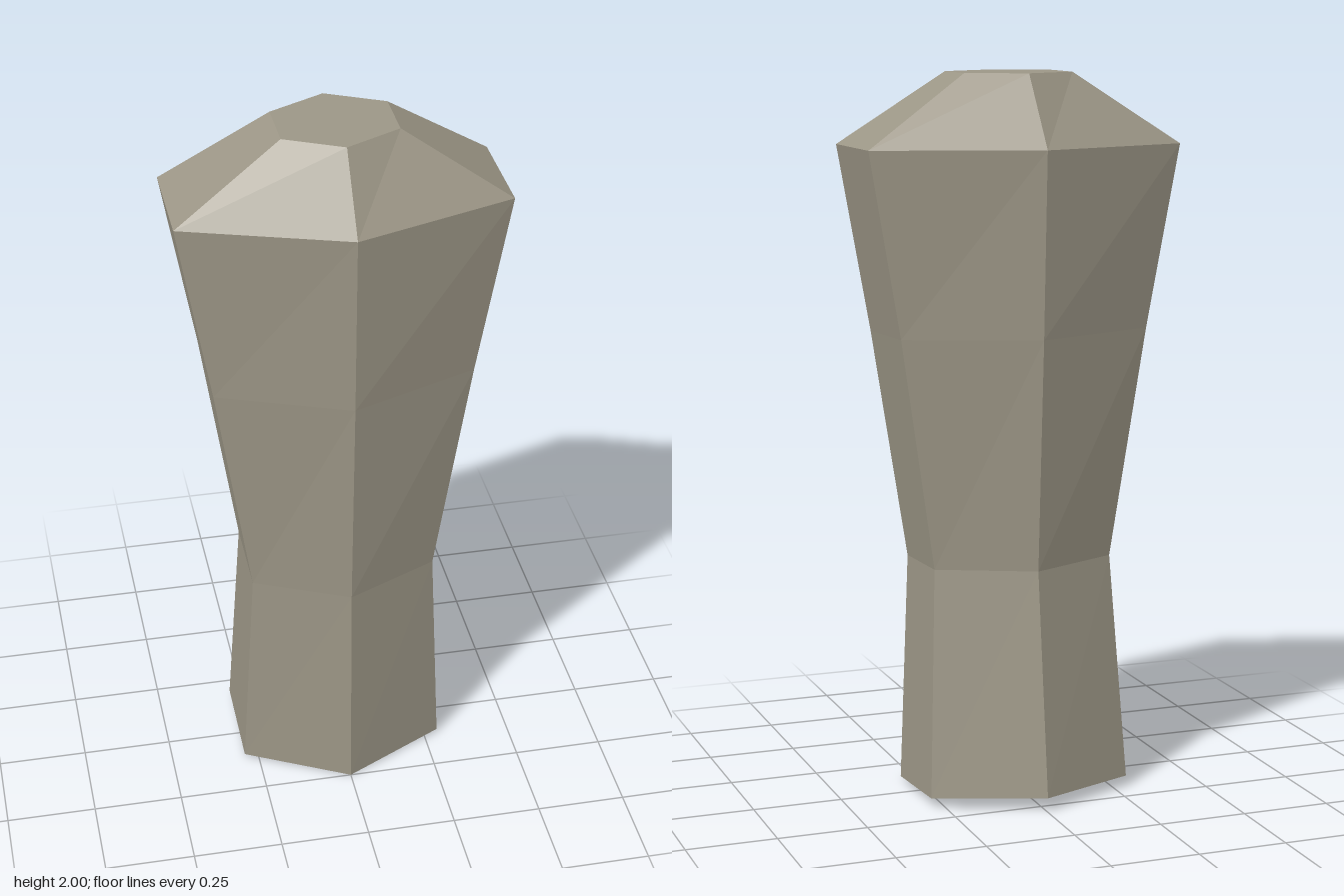
import * as THREE from 'three';

// Each ring: half width x, then [z, y] for front ridge, front edge, back edge, back ridge
const RINGS = [
  { x: 0.29, pts: [[0.25, 0], [0.11, 0.01], [-0.165, 0.03], [-0.303, 0.04]] },
  { x: 0.258, pts: [[0.25, 0.65], [0.13, 0.65], [-0.107, 0.66], [-0.226, 0.66]] },
  { x: 0.355, pts: [[0.286, 1.29], [0.147, 1.29], [-0.127, 1.3], [-0.265, 1.3]] },
  { x: 0.445, pts: [[0.305, 1.805], [0.157, 1.805], [-0.14, 1.805], [-0.288, 1.805]] },
  { x: 0.155, pts: [[0.166, 2], [0.088, 2], [-0.071, 2], [-0.15, 2]] },
];

// Six corners, running front -> +x -> back -> -x
function corners({ x, pts: [f, fe, be, b] }) {
  const at = (px, [z, y]) => [px, y, z];
  return [at(0, f), at(x, fe), at(x, be), at(0, b), at(-x, be), at(-x, fe)];
}

// Lofts faceted walls between rings, with optional flat end caps
function loft(rings, { bottom = false, top = false }) {
  const loops = rings.map(corners);
  const pos = [];
  const tri = (a, b, c) => pos.push(...a, ...b, ...c);
  for (let r = 0; r < loops.length - 1; r++) {
    const lo = loops[r], hi = loops[r + 1];
    for (let i = 0; i < 6; i++) {
      const j = (i + 1) % 6;
      tri(lo[i], lo[j], hi[j]);
      tri(lo[i], hi[j], hi[i]);
    }
  }
  const first = loops[0], last = loops[loops.length - 1];
  for (let i = 1; i < 5; i++) {
    if (bottom) tri(first[0], first[i + 1], first[i]);
    if (top) tri(last[0], last[i], last[i + 1]);
  }
  const geo = new THREE.BufferGeometry();
  geo.setAttribute('position', new THREE.Float32BufferAttribute(pos, 3));
  geo.computeVertexNormals();
  return geo;
}

export function createModel() {
  const stone = new THREE.MeshStandardMaterial({ color: 0x9c9686 });
  stone.name = 'warmGreyStone';
  stone.flatShading = true;

  const group = new THREE.Group();
  group.name = 'stonePillar';
  const add = (name, geo) => {
    const mesh = new THREE.Mesh(geo, stone);
    mesh.name = name;
    group.add(mesh);
  };

  add('base', loft(RINGS.slice(0, 2), { bottom: true }));
  add('shaft', loft(RINGS.slice(1, 4), {}));
  add('bevelledCap', loft(RINGS.slice(3), { top: true }));
  return group;
}
